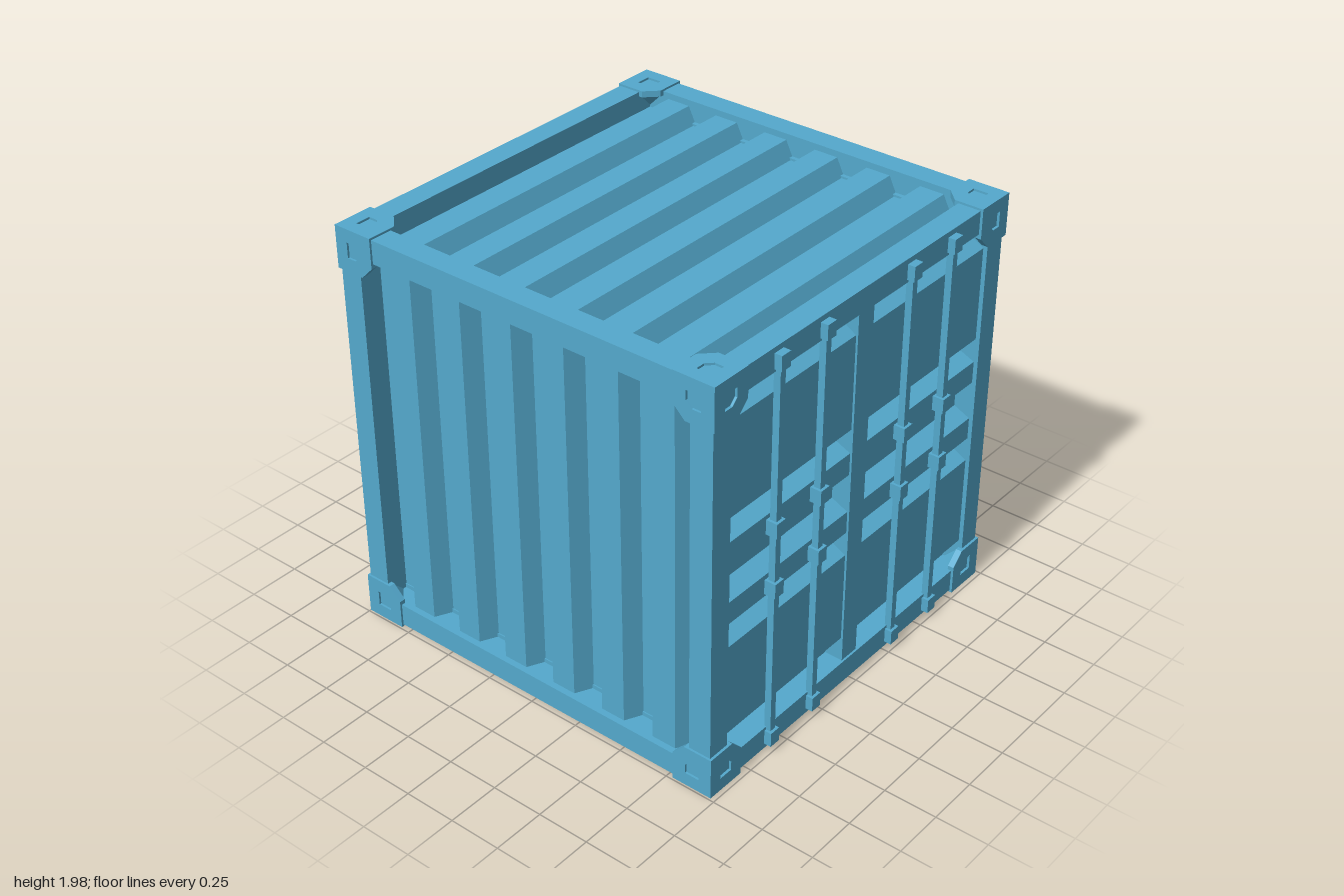
import * as THREE from 'three';
import { ConvexGeometry } from 'three/addons/geometries/ConvexGeometry.js';

const blue = new THREE.MeshStandardMaterial({ color: 0x54a9cd });
blue.name = 'containerBlue';

// Outer extents of the steel frame and the width of its beams
const X = 0.98, Y0 = 0.01, Y1 = 1.97, ZF = 0.965, ZB = -0.99, W = 0.11;
const RIB = 0.08; // depth of the corrugation

const v = (x, y, z) => new THREE.Vector3(x, y, z);

function add(parent, name, geometry) {
  const mesh = new THREE.Mesh(geometry, blue);
  mesh.name = name;
  parent.add(mesh);
  return mesh;
}

// Box given by its two extreme corners
function box(parent, name, x0, x1, y0, y1, z0, z1) {
  const mesh = add(parent, name, new THREE.BoxGeometry(x1 - x0, y1 - y0, z1 - z0));
  mesh.position.set((x0 + x1) / 2, (y0 + y1) / 2, (z0 + z1) / 2);
}

// Corrugated sheet: the profile runs along `along`, ribs stand out towards `out`.
// Each slope [a, b] switches between the recessed and the raised level.
function sheet(parent, name, along, out, origin, start, end, slopes, length) {
  const shape = new THREE.Shape();
  shape.moveTo(start, -0.02);
  shape.lineTo(end, -0.02);
  shape.lineTo(end, 0);
  let level = 0;
  for (const [a, b] of [...slopes].reverse()) {
    shape.lineTo(b, level);
    level = RIB - level;
    shape.lineTo(a, level);
  }
  shape.lineTo(start, 0);
  const geo = new THREE.ExtrudeGeometry(shape, { depth: length, bevelEnabled: false });
  geo.translate(0, 0, -length / 2);
  const m = new THREE.Matrix4().makeBasis(along, out, v().crossVectors(along, out));
  geo.applyMatrix4(m.setPosition(origin));
  add(parent, name, geo);
}

// Six evenly spaced ribs beginning at `first`
function ribs(first) {
  const slopes = [];
  for (let i = 0; i < 6; i++) {
    const t = first + i * 0.2765;
    slopes.push([t, t + 0.04], [t + 0.16, t + 0.2]);
  }
  return slopes;
}

// Corner casting, built inwards from its outermost corner at the origin
function casting() {
  const s = 0.2, k = 0.14, d = 0.03;
  const group = new THREE.Group();

  // Solid core whose inner corner is cut off diagonally
  const r = s + k - 2 * d - s; // remaining reach along the cut edges
  const core = [v(d, d, d), v(s, d, d), v(d, s, d), v(d, d, s)];
  for (const [a, b] of [[s, d + r], [d + r, s]]) {
    core.push(v(a, b, d), v(d, a, b), v(b, d, a));
  }
  add(group, 'castingCore', new ConvexGeometry(core));

  // Three outer plates with a lifting hole
  const face = new THREE.Shape([[0, 0], [s, 0], [s, k], [k, s], [0, s]]
    .map(([a, b]) => new THREE.Vector2(a, b)));
  face.holes.push(new THREE.Path([[0.063, 0.063], [0.063, 0.135], [0.107, 0.135], [0.135, 0.107], [0.135, 0.063]]
    .map(([a, b]) => new THREE.Vector2(a, b))));
  const axes = [v(1, 0, 0), v(0, 1, 0), v(0, 0, 1)];
  for (let i = 0; i < 3; i++) {
    const geo = new THREE.ExtrudeGeometry(face, { depth: d, bevelEnabled: false });
    geo.applyMatrix4(new THREE.Matrix4().makeBasis(axes[i], axes[(i + 1) % 3], axes[(i + 2) % 3]));
    add(group, 'castingPlate', geo);
  }
  return group;
}

export function createModel() {
  const model = new THREE.Group();
  model.name = 'shippingContainer';

  // Frame: posts, side beams and end beams
  const frame = new THREE.Group();
  frame.name = 'frame';
  model.add(frame);
  for (const s of [-1, 1]) {
    const x0 = s > 0 ? X - W : -X, x1 = x0 + W;
    box(frame, 'frontPost', x0, x1, Y0, Y1, ZF - W, ZF);
    box(frame, 'backPost', x0, x1, Y0, Y1, ZB, ZB + W);
    box(frame, 'topSideBeam', x0, x1, Y1 - W, Y1, ZB, ZF);
    box(frame, 'bottomSideBeam', x0, x1, Y0, Y0 + W, ZB, ZF);
  }
  for (const [name, y] of [['bottom', Y0], ['top', Y1 - W]]) {
    box(frame, name + 'FrontBeam', -X, X, y, y + W, ZF - W, ZF);
    box(frame, name + 'BackBeam', -X, X, y, y + W, ZB, ZB + W);
  }

  // Corner castings
  for (const sx of [-1, 1]) for (const sy of [-1, 1]) for (const sz of [-1, 1]) {
    const corner = casting();
    corner.name = 'cornerCasting';
    corner.position.set(sx * 0.99, sy > 0 ? 1.98 : 0, sz > 0 ? 0.977 : -1);
    corner.scale.set(-sx, -sy, -sz);
    model.add(corner);
  }

  // Corrugated walls, roof and floor
  const ax = v(1, 0, 0), ay = v(0, 1, 0), az = v(0, 0, 1);
  const inner = X - W, mid = (Y0 + Y1) / 2, zb = ZB + W, zf = ZF - W;
  for (const s of [-1, 1]) {
    sheet(model, s > 0 ? 'leftWall' : 'rightWall', az, v(s, 0, 0), v(s * inner, mid, 0), zb, zf, ribs(-0.785), 1.76);
  }
  sheet(model, 'backWall', ax, v(0, 0, -1), v(0, mid, zb), -inner, inner, ribs(-0.79), 1.76);
  sheet(model, 'roof', az, ay, v(0, Y1 - W, 0), zb, zf, ribs(-0.81), 1.75);
  sheet(model, 'floor', az, v(0, -1, 0), v(0, Y0 + W, 0), zb, zf, ribs(-0.81), 1.75);

  // Doors with horizontal pressings and a bar between them
  const pressings = [[0.193, 0.238], [0.68, 0.723], [0.755, 0.797], [0.903, 0.94],
    [1.052, 1.089], [1.195, 1.23], [1.264, 1.31], [1.755, 1.8]];
  for (const s of [-1, 1]) {
    sheet(model, s > 0 ? 'leftDoor' : 'rightDoor', ay, az, v(s * 0.46, 0, 0.865), Y0 + W, Y1 - W, pressings, 0.83);
  }
  box(model, 'doorCentreBar', -0.052, 0.052, 0.06, 1.92, 0.83, 0.955);

  // Locking rods with their end keepers and guide brackets
  for (const x of [-0.588, -0.297, 0.29, 0.581]) {
    const rod = new THREE.Group();
    rod.name = 'lockingRod';
    model.add(rod);
    box(rod, 'rodBar', x - 0.016, x + 0.016, 0.05, 1.93, 0.955, 0.987);
    for (const y of [0.07, 0.845, 1.14, 1.91]) {
      box(rod, 'rodBracket', x - 0.028, x + 0.028, y - 0.035, y + 0.035, 0.935, 1);
    }
  }
  return model;
}
